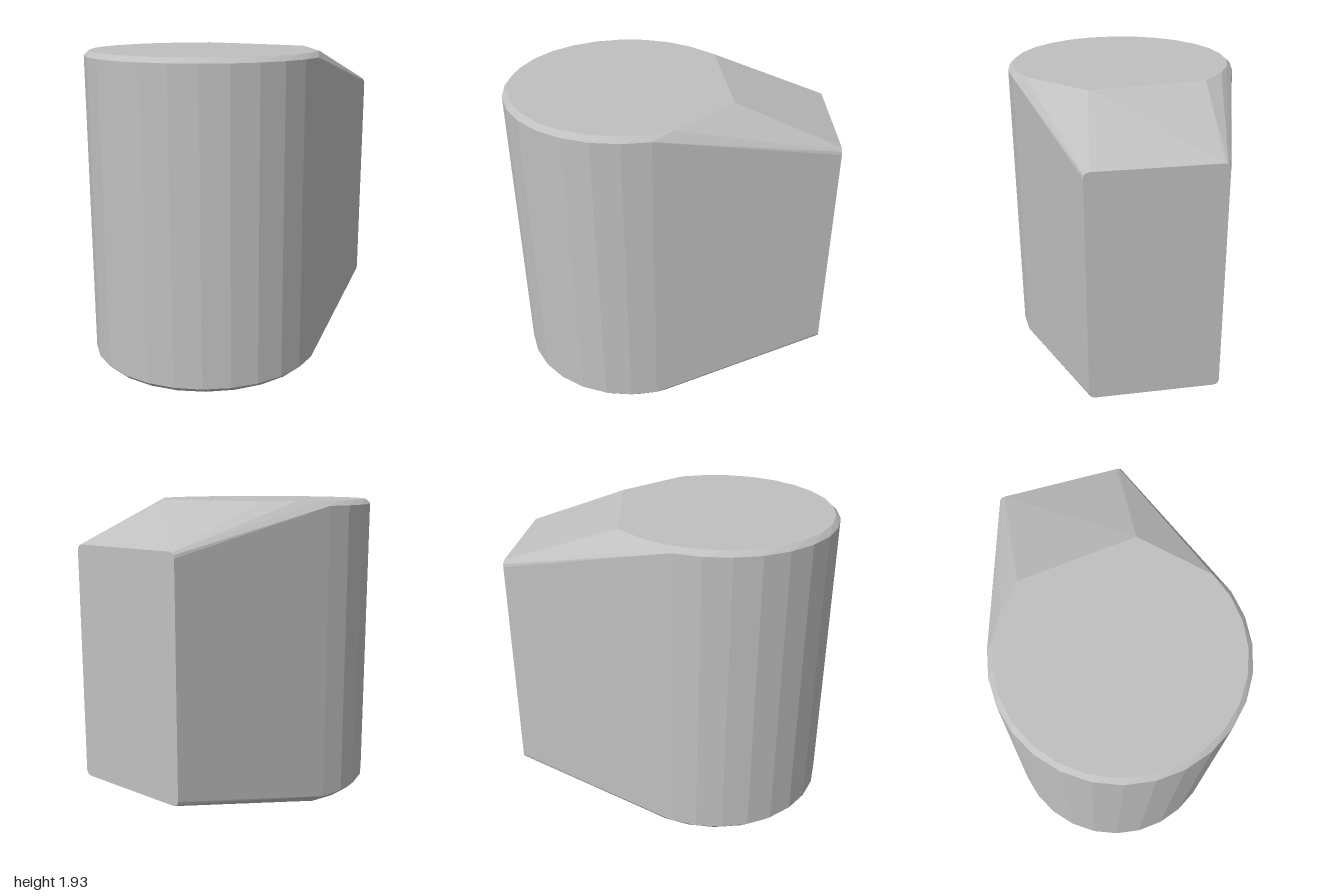
import * as THREE from 'three';
import { ConvexGeometry } from 'three/addons/geometries/ConvexGeometry.js';

const CX = -0.17, CZ = 0.27; // axis of the round end

export function createModel() {
  const group = new THREE.Group();
  group.name = 'wedgeNosedDrum';
  const grey = new THREE.MeshStandardMaterial({ color: 0xc0c0c0 });
  grey.name = 'grey';

  const points = [];
  const add = (x, y, z) => points.push(new THREE.Vector3(x, y, z));

  // Arc of the round end, angles in degrees from +x towards +z
  const arc = (radius, y, from, to, steps) => {
    for (let i = 0; i <= steps; i++) {
      const a = THREE.MathUtils.degToRad(from + (to - from) * i / steps);
      add(CX + radius * Math.cos(a), y, CZ + radius * Math.sin(a));
    }
  };

  // Round wall with a small bevel at both rims
  arc(0.73, 0.03, 21, 233, 16);
  arc(0.73, 1.9, 21, 233, 16);
  arc(0.7, 0, 16, 238, 16);
  arc(0.7, 1.93, 10, 250, 18);

  // Shoulders where the top slopes down to the nose, and the single one below
  add(-0.2, 1.93, -0.44);
  add(0.44, 1.93, -0.09);
  add(0.24, 0, -0.37);

  // Flat nose with softened corners
  const ends = [[0.24, -1], [0.89, -0.54]];
  const r = 0.035;
  ends.forEach(([x, z], i) => {
    const [ox, oz] = ends[1 - i];
    for (const [edge, dir] of [[0.225, 1], [1.68, -1]]) {
      for (let k = 0; k <= 3; k++) {
        const a = (k / 3) * Math.PI / 2;
        const t = (1 - Math.cos(a)) * r / 0.8;
        add(x + (ox - x) * t, edge + dir * r * (1 - Math.sin(a)), z + (oz - z) * t);
      }
    }
  });

  const body = new THREE.Mesh(new ConvexGeometry(points), grey);
  body.name = 'body';
  group.add(body);
  return group;
}
